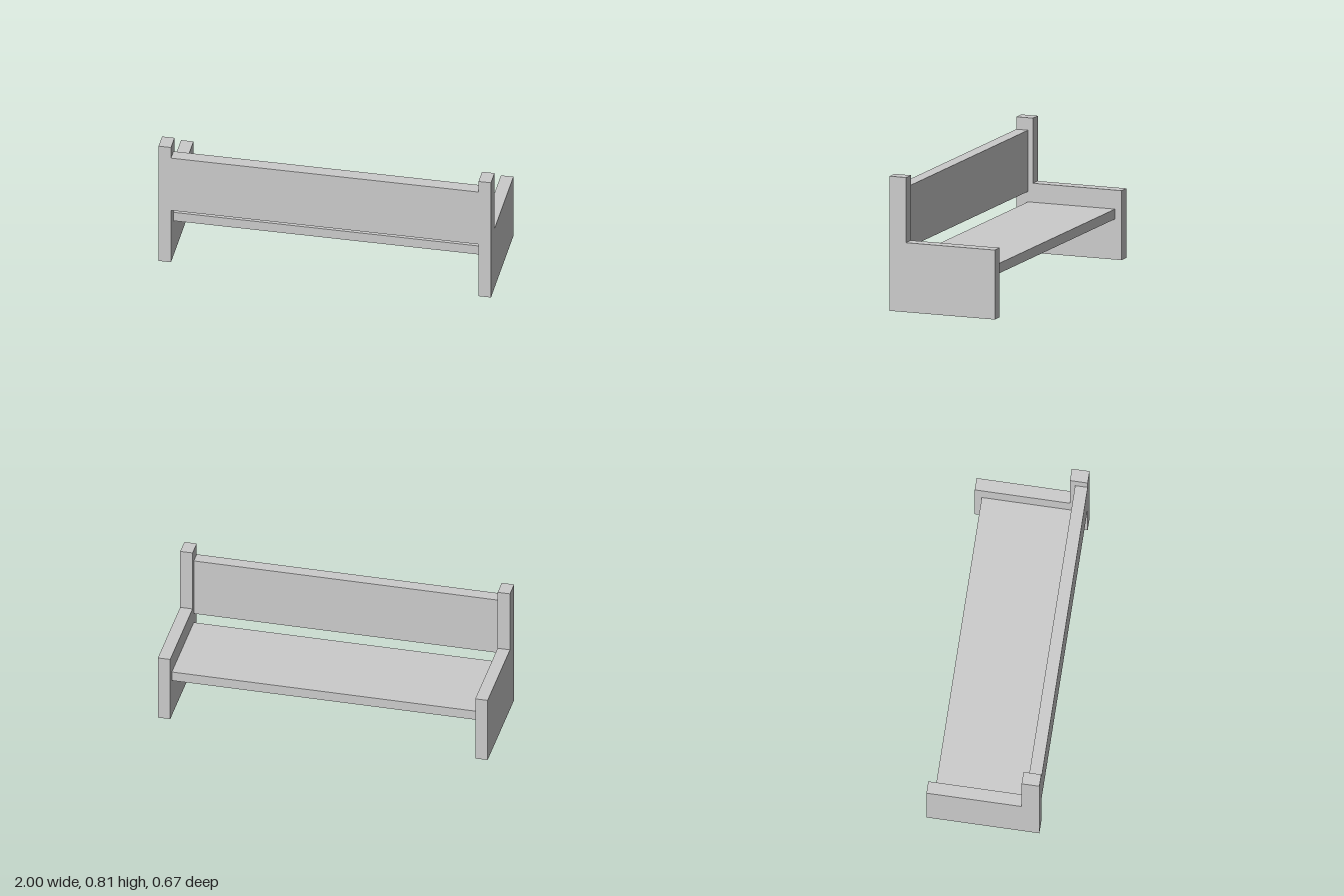
import * as THREE from 'three';

const material = new THREE.MeshStandardMaterial({ color: 0xcccccc, flatShading: true });

// Box given by its minimum and maximum corners
function board(name, [x0, y0, z0], [x1, y1, z1]) {
  const geometry = new THREE.BoxGeometry(x1 - x0, y1 - y0, z1 - z0);
  geometry.translate((x0 + x1) / 2, (y0 + y1) / 2, (z0 + z1) / 2);
  const mesh = new THREE.Mesh(geometry, material);
  mesh.name = name;
  return mesh;
}

export function createModel() {
  const group = new THREE.Group();
  group.name = 'bench';
  const inner = 0.925, depth = 0.337;

  // L-shaped end panels: low armrest with a tall post at +z
  const profile = new THREE.Shape([
    [-depth, 0], [depth, 0], [depth, 0.81], [0.231, 0.81], [0.231, 0.418], [-depth, 0.418],
  ].map(([z, y]) => new THREE.Vector2(-z, y)));
  const panel = new THREE.ExtrudeGeometry(profile, { depth: 1 - inner, bevelEnabled: false });
  panel.rotateY(Math.PI / 2); // shape x becomes -z, extrusion runs along +x
  for (const [name, x] of [['leftEndPanel', inner], ['rightEndPanel', -1]]) {
    const mesh = new THREE.Mesh(panel, material);
    mesh.name = name;
    mesh.position.x = x;
    group.add(mesh);
  }

  // Boards spanning between the end panels
  group.add(board('seat', [-inner, 0.244, -0.295], [inner, 0.304, 0.262]));
  group.add(board('backrest', [-inner, 0.366, 0.262], [inner, 0.735, depth]));
  return group;
}
